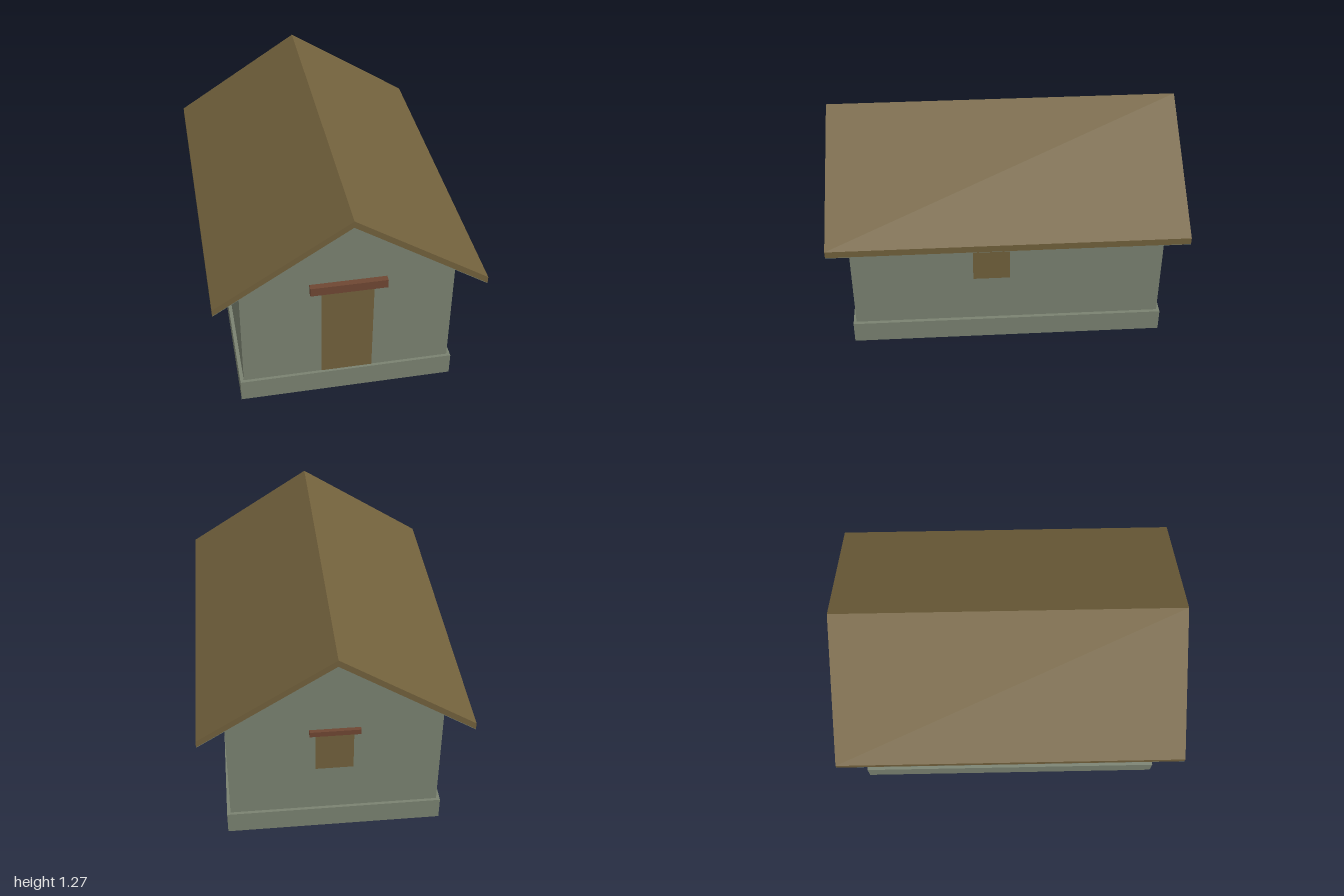
import * as THREE from 'three';

const material = (name, color) => {
  const m = new THREE.MeshStandardMaterial({ color });
  m.name = name;
  return m;
};

export function createModel() {
  const house = new THREE.Group();
  house.name = 'house';
  const sage = material('sage plaster', 0x7a8271);
  const brown = material('brown wood', 0x72613c);
  const red = material('red brown wood', 0x6f4733);

  const add = (name, geometry, mat, parent = house) => {
    const mesh = new THREE.Mesh(geometry, mat);
    mesh.name = name;
    parent.add(mesh);
    return mesh;
  };
  const box = (name, w, h, d, x, y, z, mat, parent) => {
    const mesh = add(name, new THREE.BoxGeometry(w, h, d), mat, parent);
    mesh.position.set(x, y, z);
    return mesh;
  };
  // Extrude an outline in x and y along z, centred on z = 0
  const prism = (points, length) => {
    const shape = new THREE.Shape(points.map(([x, y]) => new THREE.Vector2(x, y)));
    return new THREE.ExtrudeGeometry(shape, { depth: length, bevelEnabled: false })
      .translate(0, 0, -length / 2);
  };

  // Gabled walls, whose underside is the raised floor
  const wallX = 0.59, wallZ = 0.89, floorY = 0.12, eaveX = 0.74;
  const slope = 0.48 / eaveX, ridge = 1.235;
  const wallTop = ridge - wallX * slope;
  add('walls', prism([[-wallX, floorY], [wallX, floorY], [wallX, wallTop],
    [0, ridge], [-wallX, wallTop]], wallZ * 2), sage);

  // Plinth ring around the foot of the walls
  const rectangle = (Type, x, z) => new Type([[-x, -z], [x, -z], [x, z], [-x, z]]
    .map(([a, b]) => new THREE.Vector2(a, b)));
  const ring = rectangle(THREE.Shape, 0.61, 0.907);
  ring.holes.push(rectangle(THREE.Path, wallX, wallZ));
  add('plinth', new THREE.ExtrudeGeometry(ring, { depth: 0.135, bevelEnabled: false })
    .rotateX(-Math.PI / 2), sage);

  // Short posts under the corners
  for (const x of [-0.52, 0.52])
    for (const z of [-0.82, 0.82]) box('cornerPost', 0.12, 0.11, 0.12, x, 0.07, z, brown);

  // Roof slab with a plaster lining below
  const chevron = (low, high) => prism([[-eaveX, low - eaveX * slope], [0, low],
    [eaveX, low - eaveX * slope], [eaveX, high - eaveX * slope], [0, high],
    [-eaveX, high - eaveX * slope]], 2);
  add('roof', chevron(ridge, 1.275), brown);
  add('roofLining', chevron(ridge - 0.003, ridge), sage);

  // Door, reaching below the floor behind the plinth
  box('door', 0.29, 0.65, 0.032, 0, 0.385, 0.876, brown);
  box('doorLintel', 0.424, 0.052, 0.035, 0, 0.766, 0.9075, red);

  // Shuttered windows on the back and both sides, each turned to face outwards
  const addWindow = (name, x, z, turn) => {
    const group = new THREE.Group();
    group.name = name;
    group.position.set(x, 0, z);
    group.rotation.y = turn;
    house.add(group);
    box('shutter', 0.21, 0.265, 0.008, 0, 0.567, -0.002, brown, group);
    box('windowLintel', 0.28, 0.032, 0.022, 0, 0.712, 0.016, red, group);
  };
  addWindow('backWindow', 0, -wallZ, Math.PI);
  addWindow('leftWindow', wallX, 0.092, Math.PI / 2);
  addWindow('rightWindow', -wallX, -0.145, -Math.PI / 2);

  return house;
}
